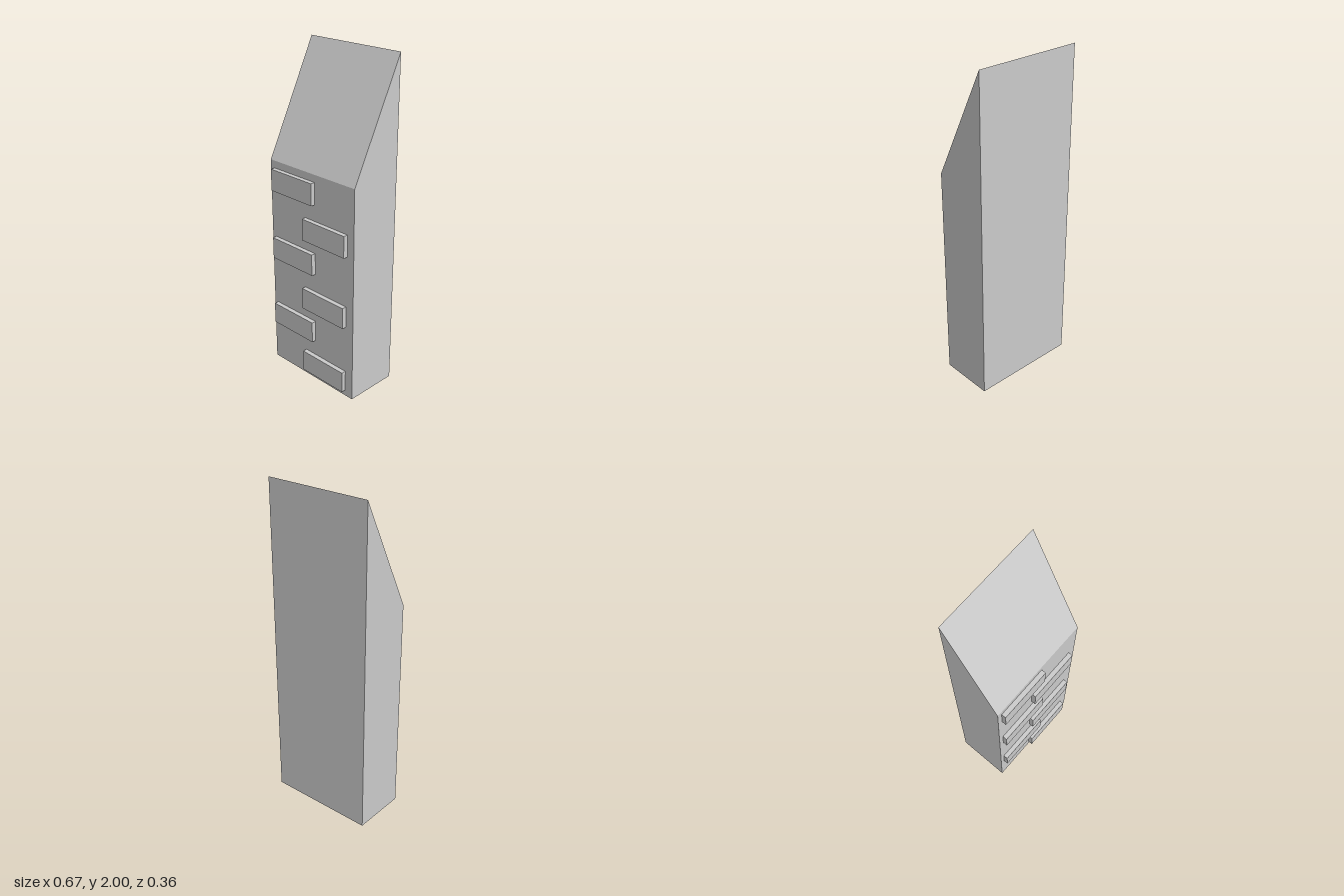
import * as THREE from 'three';

const material = new THREE.MeshStandardMaterial({ color: 0xcccccc, side: THREE.DoubleSide });

// Box between two corners with one face left open (face order: +x -x +y -y +z -z)
function openBox(min, max, openFace) {
  const size = max.map((v, i) => v - min[i]);
  const mid = max.map((v, i) => (v + min[i]) / 2);
  const geometry = new THREE.BoxGeometry(...size).translate(...mid);
  const index = Array.from(geometry.index.array);
  index.splice(openFace * 6, 6);
  geometry.setIndex(index);
  geometry.clearGroups();
  return geometry;
}

export function createModel() {
  const model = new THREE.Group();
  model.name = 'tower';

  // Hollow tower, open underneath, with the roof sloping down to the front
  const shell = openBox([-0.333, 0, -0.182], [0.333, 2, 0.152], 3);
  const pos = shell.attributes.position;
  for (let i = 0; i < pos.count; i++) {
    if (pos.getY(i) > 1 && pos.getZ(i) > 0) pos.setY(i, 1.333);
  }
  shell.computeVertexNormals();
  const body = new THREE.Mesh(shell, material);
  body.name = 'towerShell';
  model.add(body);

  // Staggered shallow panels let into the front wall, open on the inside
  const panels = [ // left edge, right edge, bottom
    [-0.053, 0.277, 0.037],
    [-0.306, 0.028, 0.27],
    [-0.055, 0.278, 0.472],
    [-0.303, 0.03, 0.72],
    [-0.048, 0.284, 0.921],
    [-0.303, 0.03, 1.155],
  ];
  panels.forEach(([x0, x1, y], i) => {
    const panel = new THREE.Mesh(openBox([x0, y, 0.125], [x1, y + 0.133, 0.18], 5), material);
    panel.name = `frontPanel${i + 1}`;
    model.add(panel);
  });

  return model;
}
